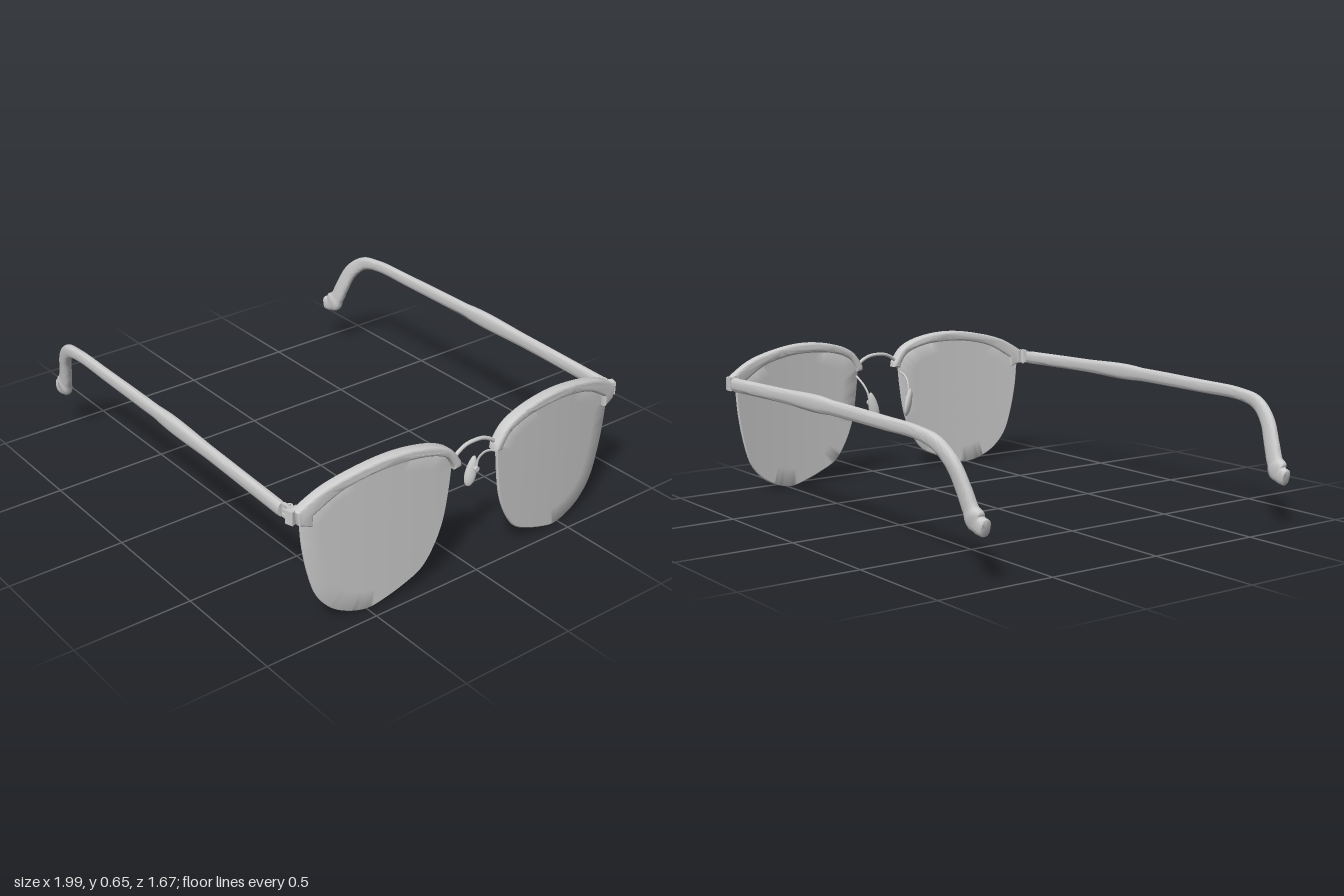
import * as THREE from 'three';
import { toCreasedNormals } from 'three/addons/utils/BufferGeometryUtils.js';

const mat = new THREE.MeshStandardMaterial({ color: 0xcccccc, side: THREE.DoubleSide });
const vec = (x, y, z) => new THREE.Vector3(x, y, z);
const spline = (pts, n) =>
  new THREE.SplineCurve(pts.map(([a, b]) => new THREE.Vector2(a, b))).getPoints(n);

// forward position of the front frame: it wraps back towards the temples
const wrap = (u) => 0.97 - 0.1 * u * u;

function add(parent, name, geo, pos = [0, 0, 0]) {
  const mesh = new THREE.Mesh(geo, mat);
  mesh.name = name;
  mesh.position.set(...pos);
  parent.add(mesh);
  return mesh;
}

// skin a list of closed rings of equal length
function loft(rings, flip = false, crease = 0.7) {
  const cols = rings[0].length;
  const index = [];
  for (let i = 0; i < rings.length - 1; i++) {
    for (let j = 0; j < cols; j++) {
      const a = i * cols + j, c = i * cols + ((j + 1) % cols);
      const b = a + cols, d = c + cols;
      if (flip) index.push(a, c, b, b, c, d);
      else index.push(a, b, c, b, d, c);
    }
  }
  const geo = new THREE.BufferGeometry().setFromPoints(rings.flat());
  geo.setIndex(index);
  return toCreasedNormals(geo, crease);
}

// lens outline (sideways, up), from the outer top corner round the bottom
const lensLower = [
  [0.775, 0.49], [0.765, 0.365], [0.739, 0.231], [0.703, 0.129], [0.641, 0.058],
  [0.565, 0.018], [0.485, 0.002], [0.41, 0.018], [0.321, 0.05], [0.241, 0.092],
  [0.183, 0.173], [0.143, 0.276], [0.121, 0.41], [0.112, 0.51],
];
const lensUpper = [
  [0.112, 0.51], [0.15, 0.57], [0.24, 0.61], [0.383, 0.626], [0.53, 0.616],
  [0.685, 0.572], [0.775, 0.49],
];
const rimTop = [
  [0.8, 0.532], [0.685, 0.597], [0.53, 0.637], [0.383, 0.65], [0.241, 0.632],
  [0.143, 0.591], [0.09, 0.525],
];
const rimBottom = [
  [0.125, 0.515], [0.161, 0.56], [0.241, 0.591], [0.352, 0.604], [0.485, 0.599],
  [0.619, 0.568], [0.734, 0.502],
];

function lensGeometry(s) {
  const outline = [...spline(lensLower, 60).slice(0, -1), ...spline(lensUpper, 36).slice(0, -1)];
  const ring = (k, dx) => outline.map((p) => {
    const u = 0.445 + (p.x - 0.445) * k, y = 0.32 + (p.y - 0.32) * k;
    return vec(wrap(u) - 0.009 + dx, y, s * u);
  });
  const scales = [0.001, 0.25, 0.5, 0.75, 0.985, 1];
  const edge = (k) => (k === 1 ? 0.003 : 0.007);
  return loft([
    ...scales.map((k) => ring(k, edge(k))),
    ...scales.slice().reverse().map((k) => ring(k, -edge(k))),
  ], s < 0);
}

function rimGeometry(s) {
  const outline = [
    ...spline(rimTop, 48),
    new THREE.Vector2(0.087, 0.5), new THREE.Vector2(0.122, 0.495),
    ...spline(rimBottom, 48),
    new THREE.Vector2(0.737, 0.455), new THREE.Vector2(0.79, 0.475),
  ];
  const shape = new THREE.Shape(outline.map((p) => new THREE.Vector2(-s * p.x, p.y)));
  const geo = new THREE.ExtrudeGeometry(shape, {
    depth: 0.03, bevelThickness: 0.012, bevelSize: 0.012, bevelOffset: -0.012, bevelSegments: 4,
  });
  geo.translate(0, 0, -0.015).rotateY(Math.PI / 2);
  const p = geo.attributes.position;
  for (let i = 0; i < p.count; i++) {
    const u = Math.abs(p.getZ(i));
    p.setX(i, p.getX(i) * (1 - 0.25 * u) + wrap(u));
  }
  return toCreasedNormals(geo, 0.6);
}

// temple stations: forward, up, sideways, half height, half thickness
const templePath = [
  [0.848, 0.505, 0.8, 0.03, 0.018], [0.4, 0.514, 0.8, 0.03, 0.018],
  [0, 0.517, 0.799, 0.03, 0.018], [-0.4, 0.513, 0.799, 0.028, 0.017],
  [-0.64, 0.508, 0.798, 0.026, 0.017], [-0.75, 0.484, 0.792, 0.03, 0.018],
  [-0.825, 0.42, 0.776, 0.034, 0.02], [-0.868, 0.335, 0.76, 0.036, 0.021],
  [-0.9, 0.263, 0.75, 0.037, 0.022], [-0.936, 0.222, 0.744, 0.037, 0.022],
  [-0.974, 0.212, 0.74, 0.033, 0.022],
];

function templeGeometry(s) {
  const splay = (x) => -s * 0.02 * (0.85 - x);
  const path = new THREE.CatmullRomCurve3(templePath.map(([x, y, u]) =>
    vec(x - s * 0.0125, y, s * (u + splay(x)))), false, 'centripetal');
  const size = new THREE.CatmullRomCurve3(templePath.map((t) => vec(t[3], t[4], 0)));
  const rows = 80, cols = 24;
  const ring = (t, k) => {
    const c = path.getPoint(t), tan = path.getTangent(t), r = size.getPoint(t);
    const up = vec(tan.y, -tan.x, 0).normalize();
    return Array.from({ length: cols }, (_, j) => {
      const a = (j / cols) * Math.PI * 2;
      const soft = (v) => Math.sign(v) * Math.pow(Math.abs(v), 0.75);
      return c.clone().addScaledVector(up, soft(Math.cos(a)) * r.x * k)
        .add(vec(0, 0, soft(Math.sin(a)) * r.y * k));
    });
  };
  const rings = [ring(0, 0.001), ring(0, 0.92)];
  for (let i = 0; i <= rows; i++) rings.push(ring(0.004 + (i / rows) * 0.99, 1));
  rings.push(ring(1, 0.88), ring(1, 0.001));
  return loft(rings);
}

function hinge(s) {
  const g = new THREE.Group();
  g.name = 'hinge';
  add(g, 'hingePlate', new THREE.BoxGeometry(0.02, 0.06, 0.04), [0.888, 0.505, s * 0.79]);
  for (const dy of [-0.021, 0, 0.021]) {
    add(g, 'hingeKnuckle', new THREE.CylinderGeometry(0.014, 0.014, 0.017, 16), [0.868, 0.507 + dy, s * 0.792]);
    add(g, 'hingeLeaf', new THREE.BoxGeometry(0.03, 0.014, 0.014), [0.853, 0.507 + dy, s * 0.797]);
  }
  add(g, 'hingePin', new THREE.CylinderGeometry(0.006, 0.006, 0.07, 12), [0.868, 0.507, s * 0.792]);
  const corner = add(g, 'cornerBlock', new THREE.BoxGeometry(0.032, 0.056, 0.03), [0.895, 0.507, s * 0.803]);
  corner.rotation.y = s * 0.3;
  return g;
}

function nosePad(s) {
  const g = new THREE.Group();
  g.name = 'nosePad';
  const padGeo = new THREE.SphereGeometry(1, 24, 16);
  // teardrop: narrower towards the top
  const p = padGeo.attributes.position;
  for (let i = 0; i < p.count; i++) p.setZ(i, p.getZ(i) * (1 - 0.25 * p.getY(i)));
  padGeo.scale(0.014, 0.066, 0.023).computeVertexNormals();
  const pad = add(g, 'pad', padGeo, [0.848, 0.345, s * 0.097]);
  pad.rotation.set(s * 0.22, s * 0.5, 0);
  const knob = add(g, 'padMount', new THREE.CylinderGeometry(0.011, 0.011, 0.024, 14), [0.862, 0.36, s * 0.107]);
  knob.rotation.z = Math.PI / 2;
  const arm = new THREE.CatmullRomCurve3([
    vec(0.953, 0.475, s * 0.122), vec(0.92, 0.462, s * 0.125), vec(0.89, 0.44, s * 0.121),
    vec(0.869, 0.405, s * 0.113), vec(0.864, 0.36, s * 0.107),
  ]);
  add(g, 'padArm', new THREE.TubeGeometry(arm, 24, 0.005, 8));
  return g;
}

export function createModel() {
  const model = new THREE.Group();
  model.name = 'eyeglasses';
  for (const s of [1, -1]) {
    const side = new THREE.Group();
    side.name = s > 0 ? 'nearHalf' : 'farHalf';
    add(side, 'lens', lensGeometry(s));
    add(side, 'browRim', rimGeometry(s));
    add(side, 'temple', templeGeometry(s));
    side.add(hinge(s), nosePad(s));
    model.add(side);
  }
  // arched wire between the two rims
  const arch = new THREE.CatmullRomCurve3([
    vec(0.962, 0.525, 0.105), vec(0.962, 0.545, 0.082), vec(0.96, 0.562, 0.045), vec(0.96, 0.567, 0),
    vec(0.96, 0.562, -0.045), vec(0.962, 0.545, -0.082), vec(0.962, 0.525, -0.105),
  ]);
  add(model, 'bridge', new THREE.TubeGeometry(arch, 40, 0.008, 12));
  model.position.z = 0.008;
  return model;
}
